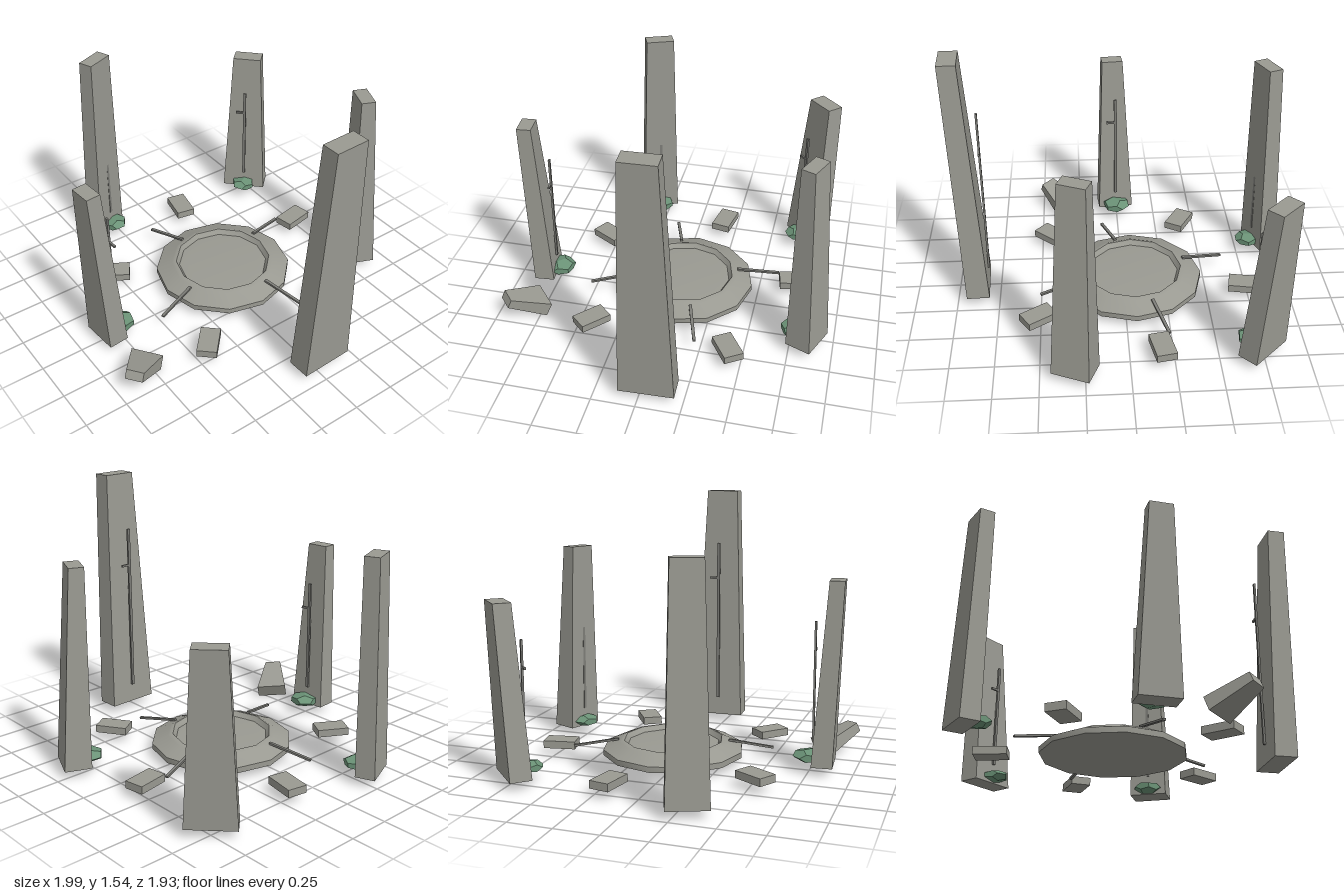
import * as THREE from 'three';
import { toCreasedNormals } from 'three/addons/utils/BufferGeometryUtils.js';

const GROUND = 0.055;
const RAD = Math.PI / 180;
const V = (x, y, z) => new THREE.Vector3(x, y, z);

// Tapered block running from one end to the other; xAxis and zAxis span its cross-section
function taperedBlock(base, top, xAxis, zAxis, baseSize, topSize) {
  const geo = new THREE.BoxGeometry(1, 1, 1);
  const pos = geo.attributes.position;
  for (let i = 0; i < pos.count; i++) {
    const upper = pos.getY(i) > 0;
    const [w, d] = upper ? topSize : baseSize;
    const p = (upper ? top : base).clone()
      .addScaledVector(xAxis, pos.getX(i) * w)
      .addScaledVector(zAxis, pos.getZ(i) * d);
    pos.setXYZ(i, p.x, p.y, p.z);
  }
  geo.computeVertexNormals();
  return geo;
}

export function createModel() {
  const model = new THREE.Group();
  const stone = new THREE.MeshStandardMaterial({ color: 0x9a9a92 });
  stone.name = 'weathered stone';
  const carving = new THREE.MeshStandardMaterial({ color: 0x7c7c77 });
  carving.name = 'dark carving';
  const moss = new THREE.MeshStandardMaterial({ color: 0x6b9377 });
  moss.name = 'moss green';

  function add(parent, name, geo, mat, x = 0, y = 0, z = 0) {
    const mesh = new THREE.Mesh(geo, mat);
    mesh.name = name;
    mesh.position.set(x, y, z);
    parent.add(mesh);
    return mesh;
  }

  // Standing stones: base and top centres [x, z], sizes [width, depth], inward-facing angle
  const stones = [
    { base: [0.88, -0.045], top: [0.94, -0.043], height: 1.543, size: [0.315, 0.135], topSize: [0.198, 0.105], angle: 178 },
    { base: [0.305, -0.847], top: [0.282, -0.807], height: 1.214, size: [0.224, 0.155], topSize: [0.157, 0.085], angle: 113, moss: 0.085 },
    { base: [-0.739, -0.735], top: [-0.78, -0.777], height: 1.02, size: [0.28, 0.124], topSize: [0.18, 0.1], angle: 46, moss: 0.08 },
    { base: [-0.899, 0.317], top: [-0.873, 0.306], height: 1.3, size: [0.23, 0.114], topSize: [0.171, 0.088], angle: -22, moss: 0.08 },
    { base: [0.011, 0.827], top: [0.024, 0.882], height: 1.103, size: [0.224, 0.12], topSize: [0.132, 0.085], angle: -95, moss: 0.092 },
  ];
  for (const s of stones) {
    const nx = Math.cos(s.angle * RAD), nz = Math.sin(s.angle * RAD);
    add(model, 'standingStone', taperedBlock(
      V(s.base[0], GROUND, s.base[1]), V(s.top[0], s.height, s.top[1]),
      V(nz, 0, -nx), V(nx, 0, nz), s.size, s.topSize), stone);

    // Upright groove and short bar on the inward face
    const marks = new THREE.Group();
    marks.name = 'stoneCarving';
    marks.position.set(s.base[0], 0, s.base[1]);
    marks.rotation.y = Math.atan2(nx, nz);
    model.add(marks);
    const h = s.height - GROUND;
    const low = 0.17, high = GROUND + 0.775 * h;
    const face = s.size[1] / 2;
    add(marks, 'carvedLine', new THREE.BoxGeometry(0.018, high - low, 0.012), carving, 0, (low + high) / 2, face);
    add(marks, 'carvedBar', new THREE.BoxGeometry(0.065, 0.013, 0.012), carving, -0.025, GROUND + 0.62 * h, face);

    // Moss clump at the foot
    if (s.moss) {
      const clump = add(model, 'mossClump', new THREE.DodecahedronGeometry(s.moss, 0), moss,
        s.base[0] + nx * 0.085, 0.092, s.base[1] + nz * 0.085);
      clump.scale.y = 0.42;
      clump.rotation.y = s.angle;
    }
  }

  // Fallen stone, tipped up at its narrow end
  const foot = V(0.317, 0.052, 0.757), tip = V(0.473, 0.155, 0.925);
  const across = V(0.74, -0.1, -0.67).normalize();
  const thick = across.clone().cross(tip.clone().sub(foot)).normalize();
  add(model, 'fallenStone', taperedBlock(foot, tip, across, thick, [0.185, 0.085], [0.1, 0.055]), stone);

  // Round twelve-sided altar with a sunken basin
  const altar = new THREE.Group();
  altar.name = 'altar';
  altar.position.set(-0.06, 0, -0.05);
  model.add(altar);
  const profile = [[0, 0.055], [0.415, 0.055], [0.415, 0.088], [0.32, 0.128], [0.302, 0.137],
    [0.292, 0.137], [0.272, 0.108], [0.22, 0.112], [0, 0.112]].map(([r, y]) => new THREE.Vector2(r, y));
  add(altar, 'altarDisc', toCreasedNormals(new THREE.LatheGeometry(profile, 12), 0.55), stone);

  // Four channels running down from the altar rim
  for (let i = 0; i < 4; i++) {
    const spoke = new THREE.Group();
    spoke.name = 'channel';
    spoke.rotation.y = (17 + i * 90) * RAD;
    altar.add(spoke);
    const bar = add(spoke, 'channelBar', new THREE.BoxGeometry(0.266, 0.012, 0.018), carving, 0.456, 0.105, 0);
    bar.rotation.z = -0.165;
  }

  // Flat paving slabs around the altar
  for (const a of [-100.5, -32.8, 190.9, 120.4, 42.6]) {
    const slab = add(altar, 'pavingSlab', new THREE.BoxGeometry(0.19, 0.045, 0.117), stone,
      0.68 * Math.cos(a * RAD), 0.078, 0.68 * Math.sin(a * RAD));
    slab.rotation.y = -a * RAD;
  }
  return model;
}
